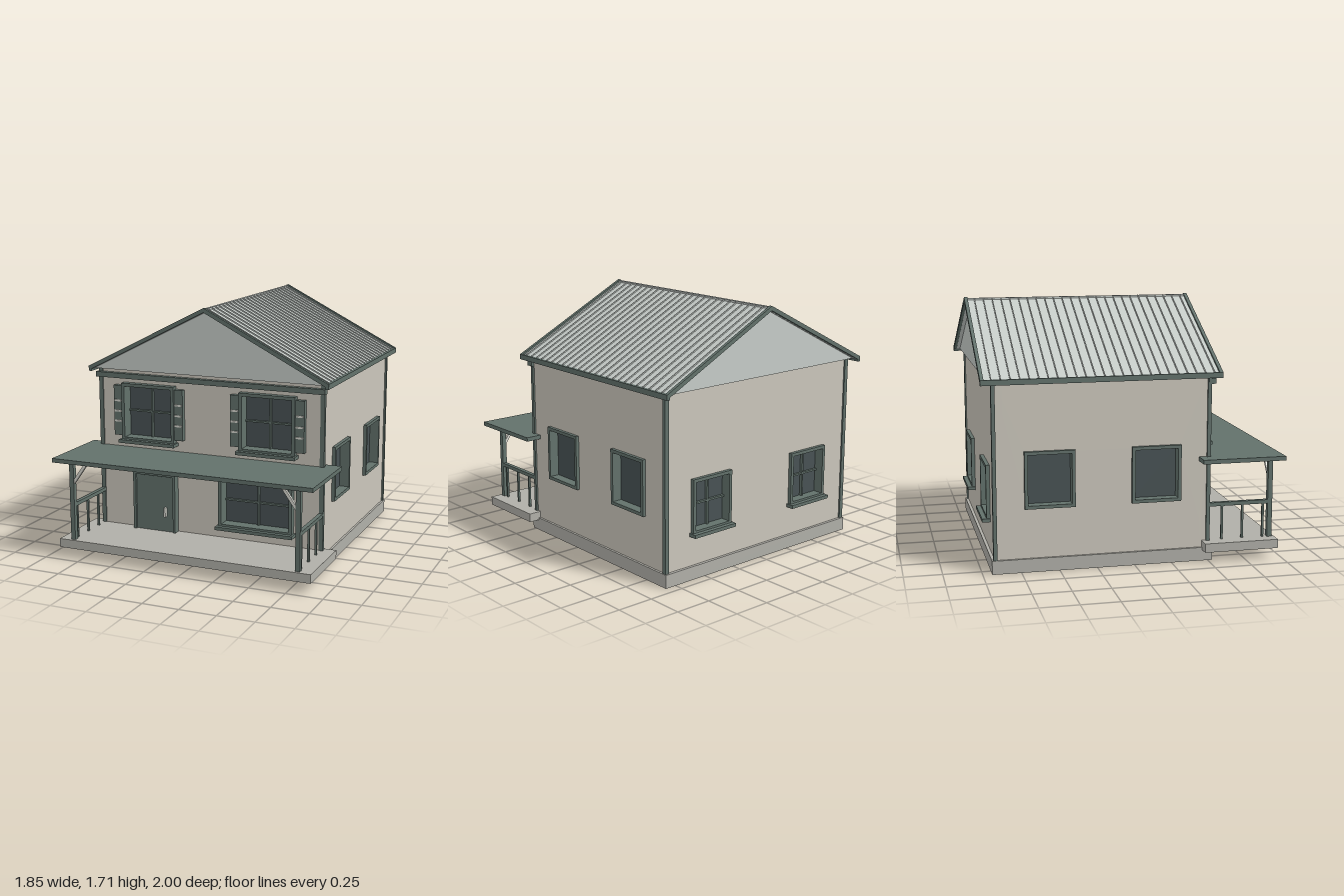
import * as THREE from 'three';

const mat = (color) => new THREE.MeshStandardMaterial({ color });
const M = {
  wall: mat(0xcbc6bb), trim: mat(0x62716b), stone: mat(0xb0afa8),
  roof: mat(0xc6ccc8), glass: mat(0x485254), pale: mat(0xd8d8d0),
};

// Box given by its extents
function box(parent, name, m, x0, x1, y0, y1, z0, z1) {
  const mesh = new THREE.Mesh(new THREE.BoxGeometry(x1 - x0, y1 - y0, z1 - z0), m);
  mesh.position.set((x0 + x1) / 2, (y0 + y1) / 2, (z0 + z1) / 2);
  mesh.name = name;
  parent.add(mesh);
  return mesh;
}

const rectPoints = (x0, x1, y0, y1) =>
  [[x0, y0], [x1, y0], [x1, y1], [x0, y1]].map((p) => new THREE.Vector2(...p));

// Flat outline with holes, extruded from z0 to z1
function plate(parent, name, m, points, holes, z0, z1) {
  const shape = new THREE.Shape(points);
  for (const h of holes) shape.holes.push(new THREE.Path(h));
  const mesh = new THREE.Mesh(
    new THREE.ExtrudeGeometry(shape, { depth: z1 - z0, bevelEnabled: false }), m);
  mesh.position.z = z0;
  mesh.name = name;
  parent.add(mesh);
  return mesh;
}

// Deep frame, recessed pane, optional glazing bars and sill; the wall face is z = 0
function addWindow(parent, w) {
  const g = new THREE.Group();
  g.name = 'window';
  const { x0, x1, y0, y1 } = w, b = 0.022, out = w.out ?? 0.02;
  plate(g, 'windowFrame', M.trim, rectPoints(x0, x1, y0, y1),
    [rectPoints(x0 + b, x1 - b, y0 + b, y1 - b)], -0.065, out);
  box(g, 'windowGlass', M.glass, x0 + 0.01, x1 - 0.01, y0 + 0.01, y1 - 0.01, -0.06, -0.045);
  if (w.bars) {
    const cx = (x0 + x1) / 2, cy = (y0 + y1) / 2;
    box(g, 'verticalBar', M.trim, cx - 0.006, cx + 0.006, y0 + b, y1 - b, -0.05, -0.025);
    box(g, 'horizontalBar', M.trim, x0 + b, x1 - b, cy - 0.006, cy + 0.006, -0.05, -0.027);
  }
  if (w.sill) box(g, 'windowSill', M.trim, x0 - 0.012, x1 + 0.012, y0 - 0.015, y0 + 0.008, 0, out + 0.03);
  if (w.shutters) {
    for (const [a, c] of [[x0 - 0.063, x0], [x1, x1 + 0.063]]) {
      box(g, 'shutter', M.trim, a, c, 0.79, 1.14, 0, 0.035);
      for (const y of [0.892, 0.962, 1.035])
        box(g, 'shutterSlat', M.pale, a + 0.006, c - 0.006, y - 0.006, y + 0.006, 0.03, 0.042);
    }
  }
  parent.add(g);
}

// One wall with its openings, turned to face outwards
function addWall(parent, name, half, angle, x, z, windows) {
  const g = new THREE.Group();
  g.name = name;
  g.rotation.y = angle;
  g.position.set(x, 0, z);
  const holes = windows.map((w) => rectPoints(w.x0 + 0.01, w.x1 - 0.01, w.y0 + 0.01, w.y1 - 0.01));
  plate(g, name + 'Panel', M.wall, rectPoints(-half, half, 0.08, 1.26), holes, -0.06, 0);
  windows.forEach((w) => addWindow(g, w));
  parent.add(g);
}

export function createModel() {
  const house = new THREE.Group();
  house.name = 'house';
  const F = 0.505, B = -0.92, S = 0.815, midZ = (F + B) / 2, halfZ = (F - B) / 2;

  // Foundation
  box(house, 'foundation', M.stone, -0.83, 0.83, 0, 0.09, -0.94, 0.53);

  // Walls and windows
  const upper = { y0: 0.76, y1: 1.16, bars: true, sill: true, shutters: true, out: 0.045 };
  addWall(house, 'frontWall', S, 0, 0, F, [
    { ...upper, x0: -0.635, x1: -0.238 }, { ...upper, x0: 0.238, x1: 0.635 },
    { x0: 0.09, x1: 0.62, y0: 0.22, y1: 0.58, bars: true, sill: true, out: 0.045 },
  ]);
  const rear = { y0: 0.305, y1: 0.67, bars: true, sill: true, out: 0.025 };
  addWall(house, 'backWall', S, Math.PI, 0, B, [
    { ...rear, x0: -0.605, x1: -0.275 }, { ...rear, x0: 0.275, x1: 0.605 },
  ]);
  for (const s of [1, -1]) {
    const wins = [0.145, -0.56].map((z) => {
      const c = -s * (z - midZ);
      return { x0: c - 0.165, x1: c + 0.165, y0: 0.42, y1: 0.795, out: 0.023 };
    });
    addWall(house, s > 0 ? 'leftWall' : 'rightWall', halfZ - 0.01, s * Math.PI / 2, s * S, midZ, wins);
  }

  // Corner boards
  for (const s of [1, -1])
    for (const [z0, z1] of [[0.487, 0.512], [-0.93, -0.905]])
      box(house, 'cornerBoard', M.trim, s * 0.812 - 0.015, s * 0.812 + 0.015, 0.09, 1.25, z0, z1);
  box(house, 'friezeBoard', M.trim, -0.835, 0.835, 1.19, 1.225, 0.49, 0.54);

  // Gable block filling the roof
  plate(house, 'gable', M.roof,
    [[-0.85, 1.25], [0.85, 1.25], [0, 1.685]].map((p) => new THREE.Vector2(...p)), [], -0.955, 0.54);

  // Roof skin, rake boards and eave boards
  const chevron = (w, top, edge, t) =>
    [[0, top], [-w, edge], [-w, edge - t], [0, top - t], [w, edge - t], [w, edge]]
      .map((p) => new THREE.Vector2(...p));
  plate(house, 'roofPanel', M.roof, chevron(0.855, 1.697, 1.262, 0.018), [], -0.98, 0.56);
  for (const [z0, z1] of [[0.552, 0.575], [-1.0, -0.977]])
    plate(house, 'rakeBoard', M.trim, chevron(0.87, 1.71, 1.268, 0.03), [], z0, z1);
  for (const s of [1, -1])
    box(house, 'eaveBoard', M.trim, s * 0.86 - 0.011, s * 0.86 + 0.011, 1.233, 1.268, -1.0, 0.575);
  box(house, 'ridgeCap', M.roof, -0.012, 0.012, 1.69, 1.703, -0.978, 0.553);

  // Standing seams on both slopes
  const run = 0.85, rise = 0.433, slope = Math.atan2(rise, run);
  for (const s of [1, -1])
    for (let i = 0; i < 25; i++) {
      const seam = new THREE.Mesh(new THREE.BoxGeometry(Math.hypot(run, rise), 0.016, 0.007), M.roof);
      seam.name = 'roofSeam';
      seam.position.set(s * run / 2, 1.697 - rise / 2, -0.93 + i * 0.0605);
      seam.rotation.z = -s * slope;
      house.add(seam);
    }

  // Front door
  const door = new THREE.Group();
  door.name = 'door';
  plate(door, 'doorFrame', M.trim, rectPoints(-0.55, -0.23, 0.02, 0.55),
    [rectPoints(-0.53, -0.248, 0.03, 0.53)], 0.5, 0.56);
  box(door, 'doorPanel', M.trim, -0.53, -0.248, 0.03, 0.525, 0.5, 0.545);
  box(door, 'doorHandle', M.pale, -0.312, -0.299, 0.245, 0.31, 0.54, 0.572);
  house.add(door);

  // Porch deck, step and roof
  const porch = new THREE.Group();
  porch.name = 'porch';
  box(porch, 'porchDeck', M.stone, -0.905, 0.905, 0.075, 0.135, 0.46, 0.965);
  box(porch, 'upperStep', M.stone, -0.59, -0.19, 0.037, 0.075, 0.535, 0.77);
  box(porch, 'lowerStep', M.stone, -0.59, -0.19, 0, 0.037, 0.595, 0.77);
  box(porch, 'porchRoof', M.trim, -0.925, 0.925, 0.677, 0.705, 0.435, 1.0);
  box(porch, 'porchLedger', M.trim, -0.82, 0.82, 0.662, 0.68, 0.49, 0.54);

  // Posts, braces and side railings
  for (const s of [1, -1]) {
    const x = s * 0.81;
    box(porch, 'porchPost', M.trim, x - 0.016, x + 0.016, 0.13, 0.68, 0.915, 0.947);
    const brace = box(porch, 'postBrace', M.pale, -0.01, 0.01, -0.09, 0.09, -0.01, 0.01);
    brace.position.set(s * 0.748, 0.607, 0.931);
    brace.rotation.z = s * 0.62;
    box(porch, 'handrail', M.trim, x - 0.014, x + 0.014, 0.365, 0.39, 0.505, 0.92);
    for (const z of [0.886, 0.742, 0.6])
      box(porch, 'baluster', M.trim, x - 0.007, x + 0.007, 0.13, 0.37, z - 0.007, z + 0.007);
  }
  house.add(porch);
  return house;
}
